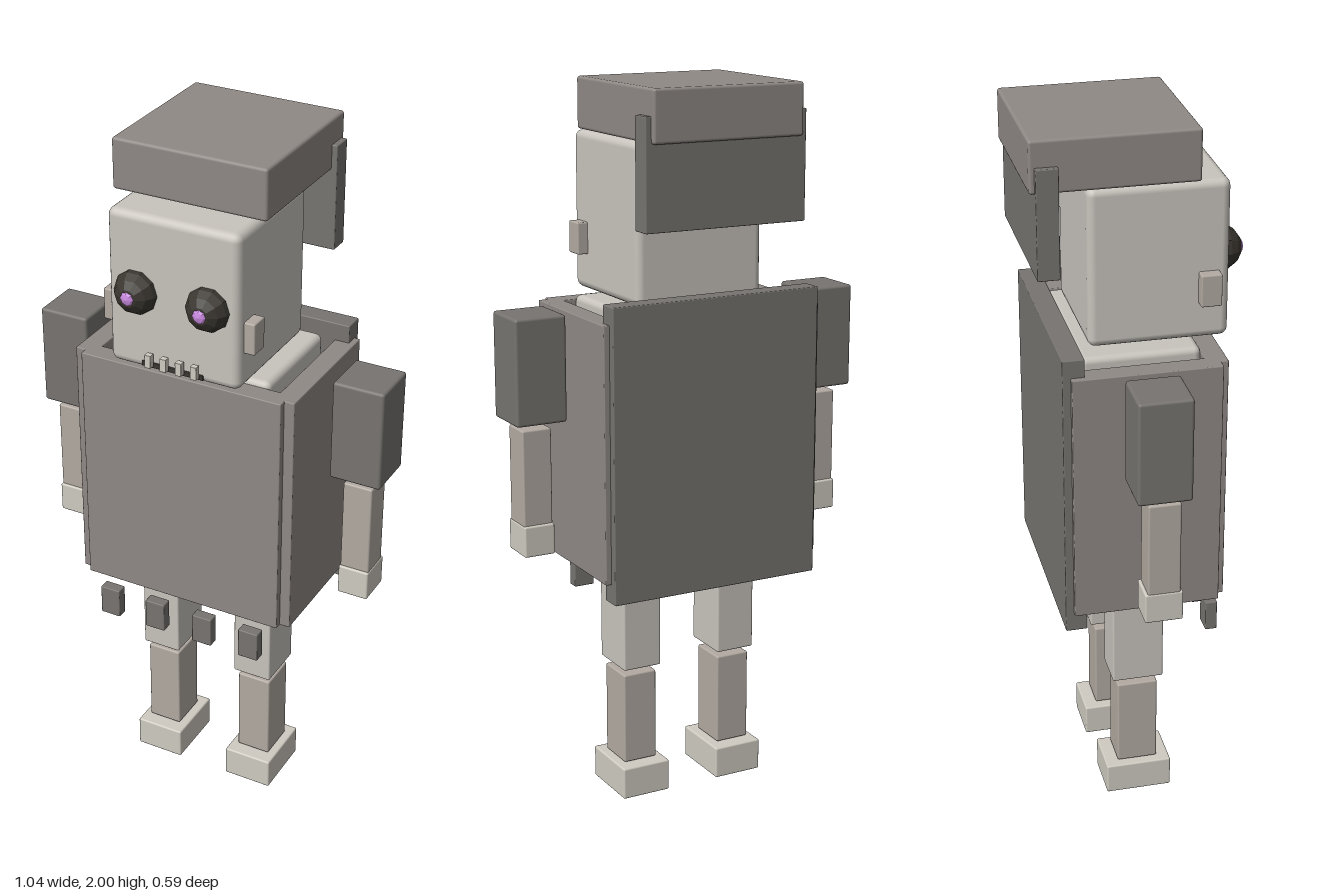
import * as THREE from 'three';
import { RoundedBoxGeometry } from 'three/addons/geometries/RoundedBoxGeometry.js';

const mat = (color) => new THREE.MeshStandardMaterial({ color });

export function createModel() {
  const model = new THREE.Group();
  model.name = 'robot';

  const cloth = mat(0x8f8985);
  const darkCloth = mat(0x777470);
  const skin = mat(0xc8c4bd);
  const limb = mat(0xb2aaa2);
  const pale = mat(0xcfcbc1);
  const black = mat(0x3a3630);
  const violet = mat(0xc98ae0);
  black.flatShading = violet.flatShading = true;

  // Softly bevelled box given by its extents on each axis
  function box(name, [x0, x1], [y0, y1], [z0, z1], material, bevel = 0.005) {
    const geo = new RoundedBoxGeometry(x1 - x0, y1 - y0, z1 - z0, 2, bevel);
    const mesh = new THREE.Mesh(geo, material);
    mesh.name = name;
    mesh.position.set((x0 + x1) / 2, (y0 + y1) / 2, (z0 + z1) / 2);
    model.add(mesh);
    return mesh;
  }

  // Low-poly ball with its pole facing forward
  function ball(name, x, y, z, r, sides, rings, material) {
    const geo = new THREE.SphereGeometry(r, sides, rings);
    geo.rotateX(Math.PI / 2);
    const mesh = new THREE.Mesh(geo, material);
    mesh.name = name;
    mesh.position.set(x, y, z);
    model.add(mesh);
  }

  // Head and hat with a flap down the back
  box('head', [-0.191, 0.189], [1.415, 1.85], [-0.142, 0.234], skin, 0.022);
  box('hat', [-0.222, 0.219], [1.86, 2.0], [-0.295, 0.147], cloth, 0.008);
  box('hatFlap', [-0.238, 0.235], [1.635, 1.93], [-0.281, -0.222], darkCloth, 0.003);

  // Mouth with four teeth
  box('mouth', [-0.093, 0.087], [1.425, 1.44], [0.22, 0.238], black, 0.002);
  for (const x of [-0.063, -0.018, 0.027, 0.071]) {
    box('tooth', [x - 0.009, x + 0.009], [1.435, 1.472], [0.244, 0.261], pale, 0.001);
  }

  // Torso core inside four separate panels
  box('torso', [-0.237, 0.234], [0.674, 1.41], [-0.174, 0.149], skin, 0.018);
  box('frontPanel', [-0.299, 0.295], [0.69, 1.395], [0.147, 0.206], cloth, 0.003);
  box('backPanel', [-0.312, 0.308], [0.636, 1.445], [-0.237, -0.178], darkCloth, 0.003);

  // Tabs hanging below the front panel
  for (const x of [-0.238, -0.092, 0.058, 0.204]) {
    box('beltTab', [x - 0.03, x + 0.03], [0.553, 0.641], [0.167, 0.2], darkCloth, 0.003);
  }

  // Paired parts, mirrored about the slightly offset body centre
  for (const [side, s] of [['left', 1], ['right', -1]]) {
    const span = (a, b) => [a * s - 0.002, b * s - 0.002].sort((p, q) => p - q);

    box(side + 'Panel', span(0.267, 0.326), [0.69, 1.395], [-0.215, 0.185], cloth, 0.003);
    box(side + 'Ear', span(0.18, 0.221), [1.516, 1.604], [0.15, 0.206], limb, 0.004);

    ball(side + 'Eye', 0.104 * s - 0.003, 1.633, 0.222, 0.064, 10, 8, black);
    ball(side + 'Pupil', 0.104 * s - 0.003, 1.633, 0.262, 0.029, 8, 6, violet);

    // Arm
    box(side + 'Sleeve', span(0.372, 0.518), [1.118, 1.407], [-0.088, 0.057], darkCloth, 0.008);
    box(side + 'Forearm', span(0.404, 0.488), [0.83, 1.098], [-0.053, 0.035], limb);
    box(side + 'Hand', span(0.402, 0.49), [0.748, 0.834], [-0.061, 0.042], pale);

    // Leg
    box(side + 'Thigh', span(0.092, 0.207), [0.377, 0.69], [-0.084, 0.061], skin);
    box(side + 'Shin', span(0.1, 0.2), [0.094, 0.357], [-0.069, 0.046], limb);
    box(side + 'Foot', span(0.077, 0.221), [0, 0.091], [-0.105, 0.083], pale);
  }

  return model;
}
